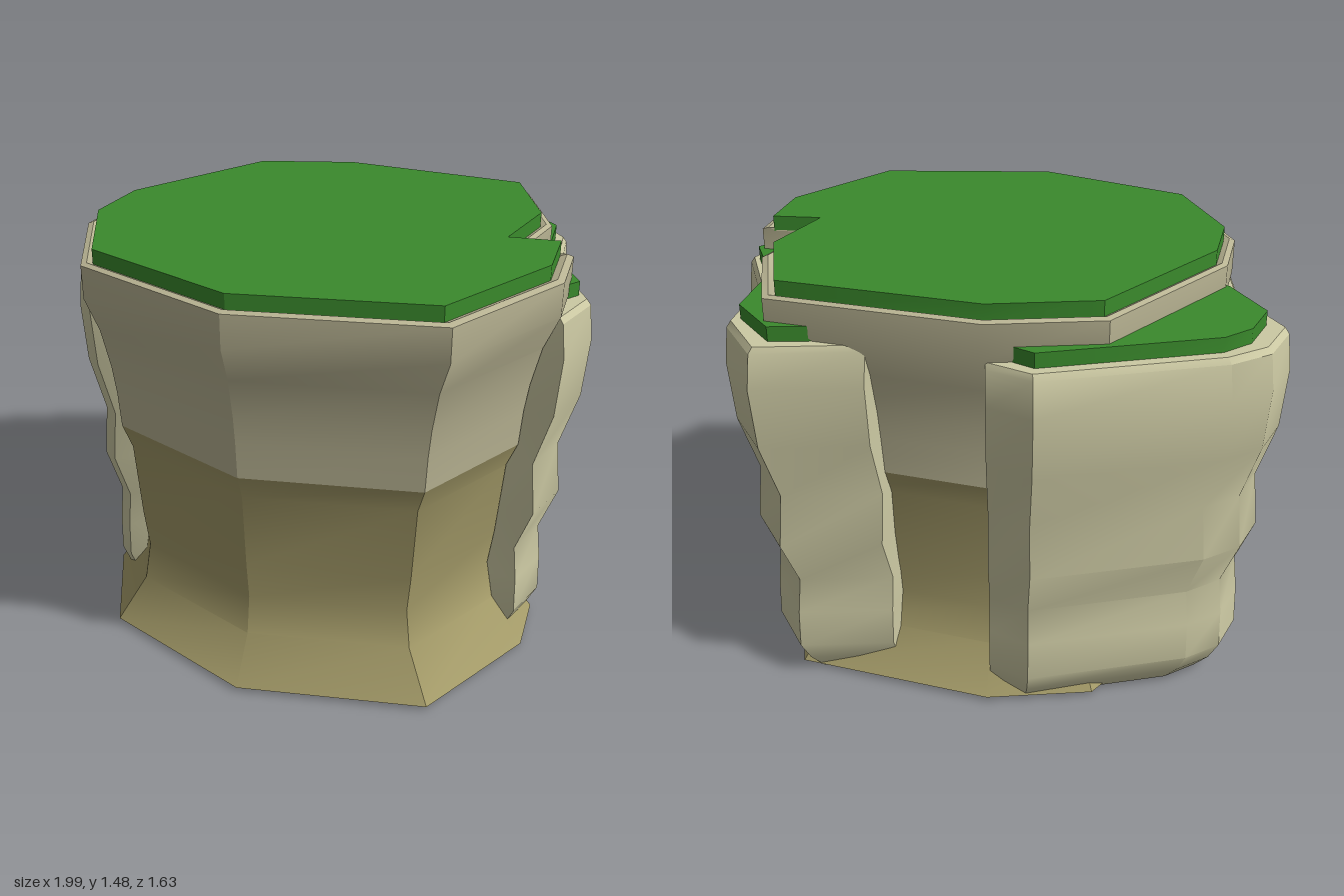
import * as THREE from 'three';
import { toCreasedNormals } from 'three/addons/utils/BufferGeometryUtils.js';

// Stack scaled copies of an [x, z] outline along rows of [height, scale].
function loft(outline, rows, { bottom = false, top = false } = {}) {
  const n = outline.length;
  const pos = [];
  const index = [];
  for (const [y, s] of rows) for (const [x, z] of outline) pos.push(x * s, y, z * s);
  for (let r = 0; r < rows.length - 1; r++) {
    for (let i = 0; i < n; i++) {
      const a = r * n + i, b = r * n + (i + 1) % n;
      index.push(a, b, b + n, a, b + n, a + n);
    }
  }
  const tris = THREE.ShapeUtils.triangulateShape(outline.map(([x, z]) => new THREE.Vector2(x, -z)), []);
  const last = (rows.length - 1) * n;
  for (const [a, b, c] of tris) {
    if (bottom) index.push(a, c, b);
    if (top) index.push(last + a, last + b, last + c);
  }
  const geo = new THREE.BufferGeometry();
  geo.setAttribute('position', new THREE.Float32BufferAttribute(pos, 3));
  geo.setIndex(index);
  return toCreasedNormals(geo, 0.5);
}

export function createModel() {
  const model = new THREE.Group();
  const add = (name, geo, color) => {
    const mesh = new THREE.Mesh(geo, new THREE.MeshStandardMaterial({ color, side: THREE.DoubleSide }));
    mesh.name = name;
    model.add(mesh);
  };
  const grass = 0x3a8a2c, paleRock = 0xccc9a3, midRock = 0xbab594, darkRock = 0xa39a68;

  // Main cliff: a notched column with a waist and a flared, open foot
  const cliff = [
    [0.9, 0.21], [0.89, -0.04], [0.71, -0.02], [0.77, -0.33], [0.62, -0.69], [-0.09, -0.75],
    [-0.45, -0.64], [-0.76, -0.08], [-0.77, 0.19], [-0.58, 0.58], [0, 0.8], [0.66, 0.67],
  ];
  add('cliffLower', loft(cliff, [
    [0.015, 0.98], [0.17, 0.84], [0.31, 0.81], [0.45, 0.83], [0.73, 0.855], [0.82, 0.895],
  ]), darkRock);
  add('cliffUpper', loft(cliff, [
    [0.82, 0.895], [0.95, 0.905], [1.05, 0.92], [1.19, 0.955], [1.31, 1.01], [1.425, 1.01],
    [1.432, 0.985], [1.42, 0.95],
  ]), midRock);
  add('cliffGrass', loft(cliff, [[1.42, 0.96], [1.475, 0.96]], { bottom: true, top: true }), grass);

  // Lower ledge wrapping the back: two lobes parted by a cleft
  const ledge = [
    [0.93, 0.2], [0.99, 0], [0.84, -0.28], [0.81, -0.62], [0.65, -0.815], [0.3, -0.72],
    [0.22, -0.42], [-0.05, -0.42], [-0.1, -0.77], [-0.26, -0.825], [-0.83, -0.57], [-0.95, -0.46],
    [-1, -0.28], [-0.83, -0.03], [-0.77, 0.31], [-0.71, 0.35], [-0.24, 0.28], [0, 0.1], [0.6, 0.15],
  ];
  add('ledgeRock', loft(ledge, [
    [0, 0.82], [0.06, 0.87], [0.13, 0.905], [0.27, 0.9], [0.4, 0.885], [0.56, 0.945], [0.75, 0.925],
    [0.95, 0.985], [1.16, 1], [1.28, 0.985], [1.3, 0.97], [1.3, 0.94],
  ], { bottom: true, top: true }), paleRock);

  // Grass on the ledge, inset from the rim
  const ledgeGrass = [
    [0.86, 0.08], [0.93, -0.02], [0.78, -0.28], [0.76, -0.58], [0.6, -0.74], [0.28, -0.66],
    [0.2, -0.4], [-0.06, -0.4], [-0.13, -0.71], [-0.25, -0.76], [-0.79, -0.52], [-0.87, -0.43],
    [-0.91, -0.27], [-0.78, -0.07], [-0.6, 0.05],
  ];
  add('ledgeGrass', loft(ledgeGrass, [[1.29, 1], [1.35, 1]], { bottom: true, top: true }), grass);

  return model;
}
